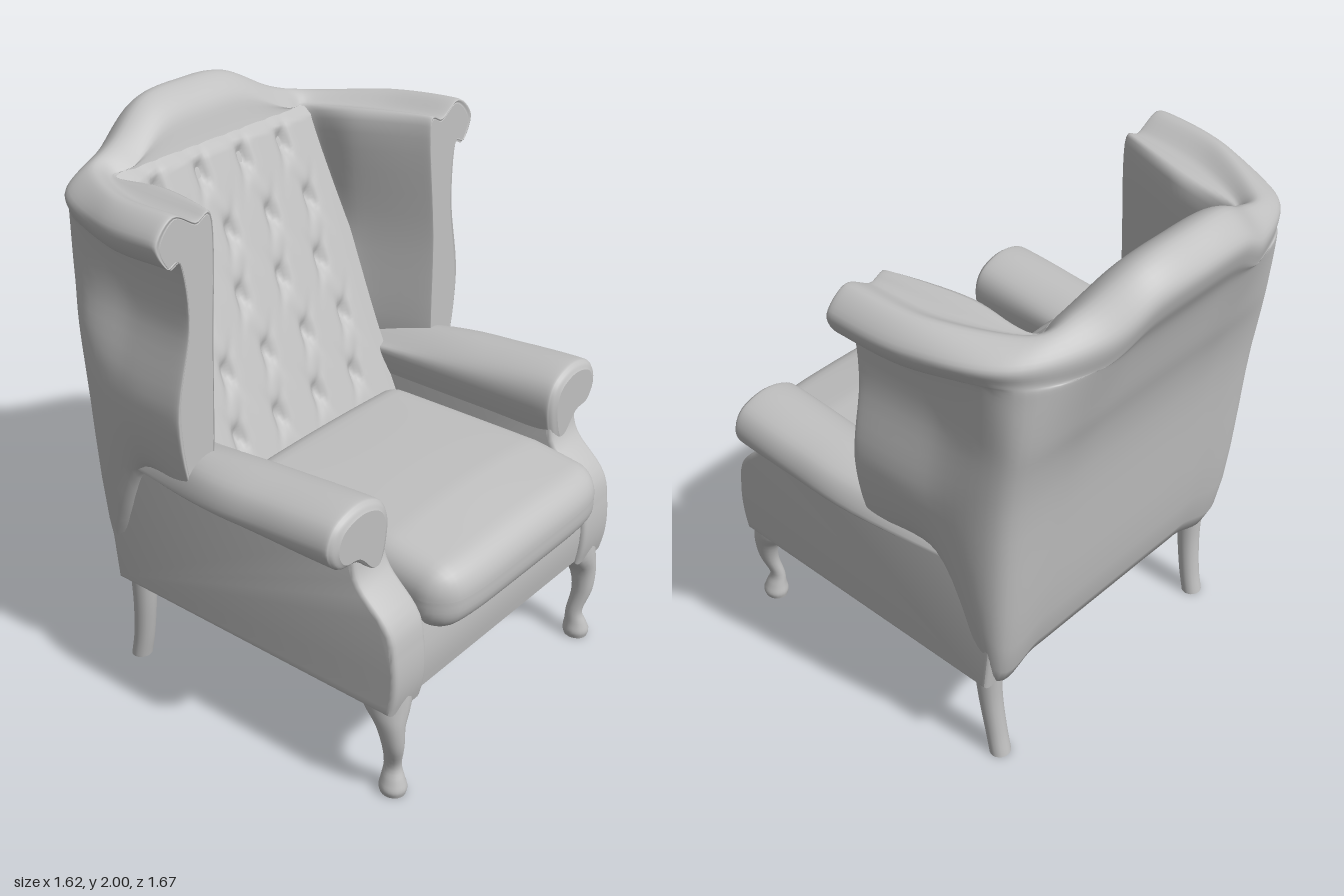
import * as THREE from 'three';
import { toCreasedNormals, mergeGeometries } from 'three/addons/utils/BufferGeometryUtils.js';

const V = (p) => new THREE.Vector3(p[0], p[1], p[2]);

// Smooth surface through closed control sections; flat end caps projected by `flat`.
function loft(sections, around, along, flat) {
  const rings = sections.map((s) => {
    const curve = new THREE.CatmullRomCurve3(s.map(V), true, 'catmullrom', 0.5);
    return Array.from({ length: around }, (_, i) => curve.getPoint(i / around));
  });
  const rows = Array.from({ length: along + 1 }, () => []);
  for (let i = 0; i < around; i++) {
    const curve = new THREE.CatmullRomCurve3(rings.map((r) => r[i]), false, 'catmullrom', 0.5);
    rows.forEach((row, j) => row.push(curve.getPoint(j / along)));
  }
  const skin = new THREE.BufferGeometry().setFromPoints(rows.flat());
  const index = [];
  for (let j = 0; j < along; j++) {
    for (let i = 0; i < around; i++) {
      const a = j * around + i, b = j * around + (i + 1) % around;
      index.push(a, b, b + around, a, b + around, a + around);
    }
  }
  skin.setIndex(index);
  const parts = [skin];
  for (const row of [rows[0], rows[along]]) {
    const cap = new THREE.BufferGeometry().setFromPoints(row);
    cap.setIndex(THREE.ShapeUtils.triangulateShape(row.map(flat), []).flat());
    parts.push(cap);
  }
  parts.forEach((g) => g.computeVertexNormals());
  return mergeGeometries(parts);
}

const flatXY = (p) => new THREE.Vector2(p.x, p.y);
const flatXZ = (p) => new THREE.Vector2(p.x, p.z);
const flip = (sections, s) => sections.map((sec) => sec.map(([x, y, z]) => [x * s, y, z]));

// Sideways position of the chair's middle: the seat sits slightly to the right of the top.
const SEAT_X = -0.035;
const middle = (y) => SEAT_X * (1 - THREE.MathUtils.smoothstep(y, 0.95, 1.6));

// Move every vertex by a rule.
function reshape(geo, rule) {
  const pos = geo.attributes.position, p = new THREE.Vector3();
  for (let i = 0; i < pos.count; i++) {
    p.fromBufferAttribute(pos, i);
    rule(p);
    pos.setXYZ(i, p.x, p.y, p.z);
  }
  return geo;
}

// Section through the back at x: inner face, rolled crest, raked outer face
const backSection = (x, top, crestZ) => [
  [.8, -.19], [1.4, -.42], [1.78, -.575], [top - .06, -.575 - (top - 1.85) * .4], [top, crestZ], [top - .07, crestZ - .09],
  [top - .16, crestZ - .08], [1.71, -.755], [1.5, -.695], [1.2, -.615], [.39, -.5],
].map(([y, z]) => [x, y, z]);

// Section through a wing at z: inner face, scroll, waisted outer face;
// `thicken` moves the inner face, `inset` the whole section, k scales it
const wingSection = (z, thicken, inset, k = 1) => [
  [.59 - thicken, .95], [.575 - thicken, 1.4], [.55 - thicken, 1.82], [.63, 1.835], [.73, 1.88], [.81, 1.81],
  [.77, 1.725], [.71, 1.72], [.69, 1.5], [.745, 1.2], [.69, .91],
].map(([x, y]) => [.65 + (x - inset - .65) * k, 1.4 + (y - inset * .4 - 1.4) * (.8 + .2 * k), z + (1.4 - y) * .03]);

// Section through an arm at z, scaled about its middle by k
const armSection = (z, outer, top, low, k = 1) => [
  [.49, .8], [.455, .95], [.49, top - .04], [.6, top], [outer - .04, top - .03],
  [outer, top - .11], [outer - .04, low + .02], [.62, low], [.54, .8],
].map(([x, y]) => [.6 + (x - .6) * k, .96 + (y - .96) * k, z]);

// Leg from stations of [y, centre x, centre z, half width, half depth]
function leg(stations, s) {
  const rings = stations.map(([y, cx, cz, rx, rz]) =>
    Array.from({ length: 8 }, (_, i) => {
      const a = (i / 8) * Math.PI * 2;
      return [cx + rx * Math.cos(a), y, cz + rz * Math.sin(a)];
    }));
  return loft(flip(rings, s), 20, 28, flatXZ);
}

export function createModel() {
  const group = new THREE.Group();
  const upholstery = new THREE.MeshStandardMaterial({ color: 0xc0c0c0, side: THREE.DoubleSide });
  upholstery.name = 'greyUpholstery';
  const add = (name, geo, x = 0) => {
    const mesh = new THREE.Mesh(geo, upholstery);
    mesh.name = name;
    mesh.position.x = x;
    group.add(mesh);
  };

  // Wings and back: one scrolled section swept round from wing to wing
  const corner = [
    [.47, .8, -.19], [.47, 1.4, -.42], [.47, 1.77, -.56], [.5, 1.82, -.59], [.55, 1.85, -.62], [.645, 1.8, -.64],
    [.635, 1.74, -.645], [.63, 1.69, -.65], [.635, 1.5, -.64], [.64, 1.2, -.595], [.6, .4, -.495],
  ];
  const half = [
    wingSection(-.06, 0, 0, .85), wingSection(-.085, 0, 0), wingSection(-.34, .045, .03), corner,
    backSection(.39, 1.89, -.68), backSection(.2, 1.985, -.73),
  ];
  const sweep = [...half, backSection(0, 2, -.74), ...flip(half, -1).reverse()]
    .map((section) => section.map(([x, y, z]) => [x + middle(y), y, z]));
  add('wingsAndBack', loft(sweep, 66, 96, flatXY));

  // Buttoned inner back, dimpled with pleats between staggered rows
  const buttons = [];
  for (let r = 0; r < 5; r++) {
    for (let c = 0; c < 4; c++) buttons.push([-.315 + c * .21 + (r % 2 ? .02 : -.02), .93 + r * .2]);
  }
  const tufted = reshape(new THREE.PlaneGeometry(.98, 1, 76, 84), (p) => {
    const rise = .05 * Math.max(0, Math.cos(p.x * 3.2));
    p.y = .8 + (p.y + .5) * (1.01 + rise);
    p.z = -.115 - .455 * (p.y - .83);
    for (const [bx, by] of buttons) {
      const dx = p.x - bx, dy = p.y - by;
      p.z -= .028 * Math.exp(-(dx * dx) / .0007 - (dy * dy) / .0016);
      p.z -= .01 * Math.exp(-((Math.abs(dx) - Math.abs(dy) * .5) ** 2) / .0003 - (dy * dy) / .006);
    }
    p.z -= .08 * Math.max(0, Math.abs(p.x) - .42);
    p.z -= .9 * Math.max(0, p.y - 1.79);
    p.x += middle(p.y);
  });
  tufted.computeVertexNormals();
  add('tuftedBack', tufted);

  // Seat cushion: rounded box with a crowned top and bowed front
  const core = new THREE.Vector3(.385, .035, .395);
  const cushion = reshape(new THREE.BoxGeometry(.95, .25, .97, 36, 12, 36), (p) => {
    const inner = p.clone().clamp(core.clone().negate(), core);
    p.sub(inner).setLength(.09).add(inner);
    const u = p.x / .475, w = p.z / .485;
    if (p.y > 0) p.y += .025 * (1 - u * u) * (1 - w * w * .6) - Math.max(0, w - .4) * .06;
    if (w > .5) p.z -= .05 * u ** 6 * (w - .5) * 2;
    p.y += .725;
    p.z += .345;
  });
  add('seatCushion', toCreasedNormals(cushion, .9), SEAT_X);

  // Seat base with a front rail and a sagging underside
  const base = reshape(new THREE.BoxGeometry(1.2, .26, 1.21, 24, 6, 24), (p) => {
    const u = p.x / .6, w = p.z / .605;
    if (p.y < -.12) p.y -= .06 * (1 - u * u) * (1 - w ** 4);
    else if (w > .99) p.z += .015 * Math.cos(p.y * 12);
    p.y += .51;
    p.z += .11;
  });
  add('seatBase', toCreasedNormals(base, .7), SEAT_X);

  // Side panels under the arms, with a swept front post
  const side = new THREE.Shape();
  side.moveTo(-.485, .39);
  side.lineTo(.71, .38);
  side.quadraticCurveTo(.74, .48, .72, .6);
  side.bezierCurveTo(.72, .74, .58, .74, .56, .86);
  side.lineTo(.55, .96);
  side.lineTo(-.54, .91);
  side.closePath();
  const panel = new THREE.ExtrudeGeometry(side, {
    depth: .13, bevelEnabled: true, bevelSize: .018, bevelThickness: .02, bevelSegments: 3, curveSegments: 10,
  });
  panel.translate(0, 0, -.065).rotateY(-Math.PI / 2);
  const sidePanel = toCreasedNormals(panel, .7);

  // Rolled arms
  const arm = [
    armSection(.588, .755, 1.085, .88, .76), armSection(.572, .755, 1.085, .88, .94), armSection(.53, .755, 1.085, .885),
    armSection(.3, .755, 1.07, .89), armSection(0, .74, 1.045, .9), armSection(-.5, .62, .98, .9),
  ];

  // Cabriole front legs and raked back legs
  const frontLeg = [
    [.43, .555, .645, .08, .09], [.36, .56, .655, .075, .085], [.29, .58, .685, .045, .055], [.2, .575, .695, .033, .04],
    [.11, .555, .68, .026, .032], [.06, .56, .685, .036, .042], [.025, .563, .688, .046, .05], [0, .563, .688, .04, .045],
  ];
  const backLeg = [
    [.42, .565, -.445, .05, .05], [.25, .56, -.455, .043, .042], [.1, .555, -.475, .04, .038], [0, .555, -.495, .04, .037],
  ];

  for (const s of [1, -1]) {
    const label = s > 0 ? 'left' : 'right';
    add(label + 'SidePanel', sidePanel, s * .553 + SEAT_X);
    add(label + 'Arm', loft(flip(arm, s), 45, 30, flatXY), SEAT_X);
    add(label + 'FrontLeg', leg(frontLeg, s), SEAT_X);
    add(label + 'BackLeg', leg(backLeg, s), SEAT_X);
  }
  return group;
}
